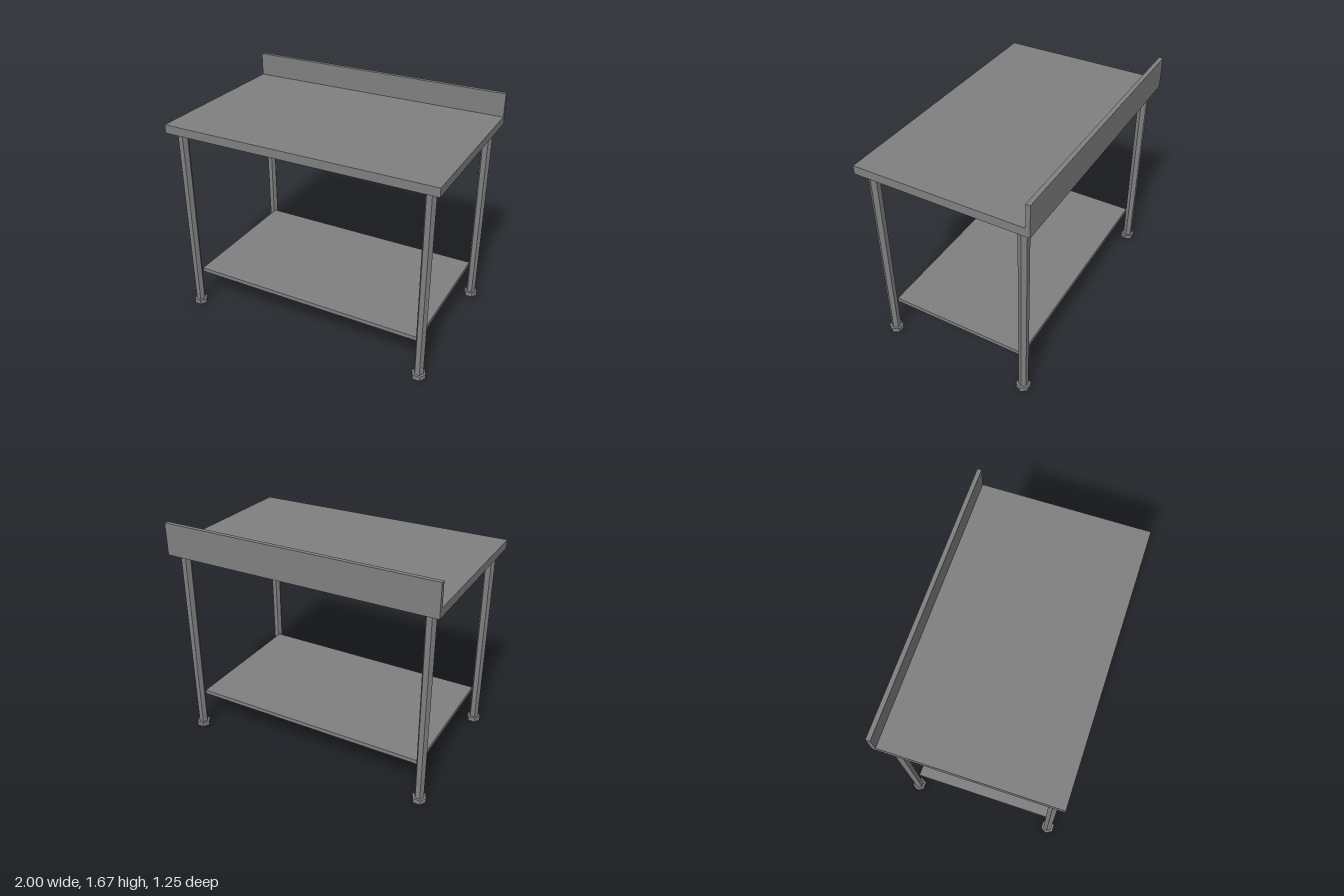
import * as THREE from 'three';

export function createModel() {
  const model = new THREE.Group();
  model.name = 'workTable';

  const steel = new THREE.MeshStandardMaterial({ color: 0x808080 });
  steel.name = 'steel grey';
  steel.flatShading = true;

  const add = (name, geometry, x, y, z) => {
    const mesh = new THREE.Mesh(geometry, steel);
    mesh.name = name;
    mesh.position.set(x, y, z);
    model.add(mesh);
  };

  // Box given by its lower and upper corners
  const slab = (name, [x0, y0, z0], [x1, y1, z1]) =>
    add(name, new THREE.BoxGeometry(x1 - x0, y1 - y0, z1 - z0),
      (x0 + x1) / 2, (y0 + y1) / 2, (z0 + z1) / 2);

  // Hexagonal prism standing on yBottom, corners pointing left and right
  const hexPost = (name, rTop, rBottom, yBottom, yTop, x, z) =>
    add(name, new THREE.CylinderGeometry(rTop, rBottom, yTop - yBottom, 6).rotateY(Math.PI / 6),
      x, (yBottom + yTop) / 2, z);

  // Worktop with raised back edge, and the lower shelf
  slab('worktop', [-1, 1.438, -0.626], [1, 1.5, 0.626]);
  slab('backsplash', [-1, 1.5, -0.626], [1, 1.67, -0.595]);
  slab('shelf', [-0.89, 0.27, -0.515], [0.89, 0.3, 0.518]);

  // Four slightly tapered legs on wider feet
  for (const [side, x] of [['left', 0.917], ['right', -0.917]]) {
    for (const [end, z] of [['Front', 0.545], ['Back', -0.541]]) {
      hexPost(`${side}${end}Leg`, 0.037, 0.034, 0.035, 1.438, x, z);
      hexPost(`${side}${end}Foot`, 0.052, 0.052, 0, 0.035, x, z);
    }
  }

  return model;
}
